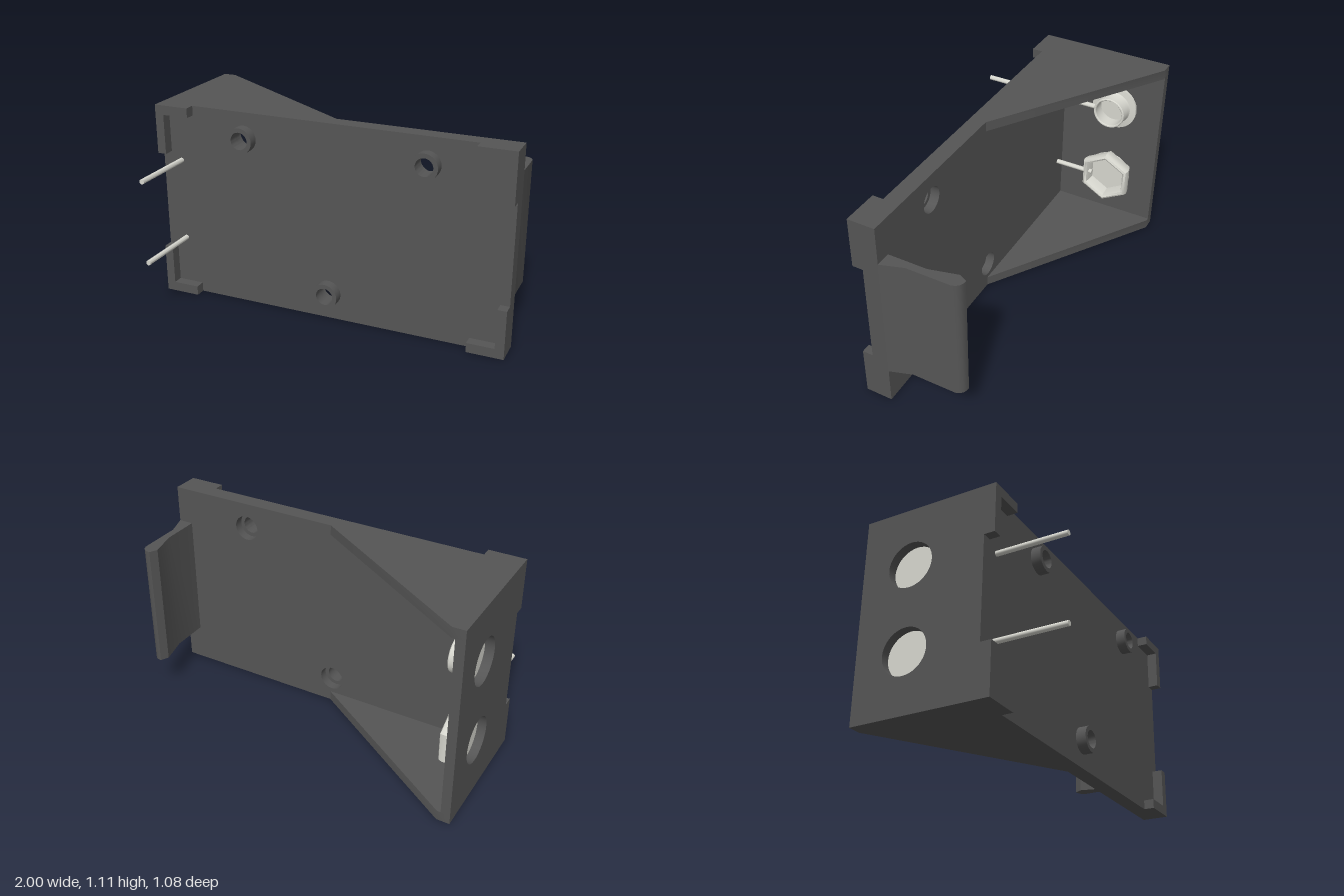
import * as THREE from 'three';
import { toCreasedNormals } from 'three/addons/utils/BufferGeometryUtils.js';

const plastic = new THREE.MeshStandardMaterial({ color: 0x555555 });
const metal = new THREE.MeshStandardMaterial({ color: 0xd6d6ce });

const H = 1.11, WALL = 0.055;
const PLATE_BACK = 0.065, PLATE_FRONT = 0.155, FOOT_FRONT = 0.213;
const SCREWS = [[-0.49, 0.965], [0.54, 0.965], [0, 0.15]];
const POLES = [0.79, 0.325], POLE_Z = -0.26;

const polygon = (pts) => new THREE.Shape(pts.map(([x, y]) => new THREE.Vector2(x, y)));
const rectangle = (x0, y0, x1, y1) => polygon([[x0, y0], [x1, y0], [x1, y1], [x0, y1]]);
const circle = (x, y, r) => new THREE.Path().absarc(x, y, r, 0, Math.PI * 2, true);
const extrude = (shape, depth) =>
  new THREE.ExtrudeGeometry(shape, { depth, bevelEnabled: false, curveSegments: 20 });

export function createModel() {
  const model = new THREE.Group();
  const add = (name, geometry, material = plastic) => {
    const mesh = new THREE.Mesh(toCreasedNormals(geometry, 0.6), material);
    mesh.name = name;
    model.add(mesh);
    return mesh;
  };

  // Base plate in two layers, so the screw holes are counterbored from the back
  const layer = (name, z0, z1, holeRadius) => {
    const shape = rectangle(-1, 0, 1, H);
    SCREWS.forEach(([x, y]) => shape.holes.push(circle(x, y, holeRadius)));
    add(name, extrude(shape, z1 - z0).translate(0, 0, z0));
  };
  layer('plateBack', PLATE_BACK, 0.115, 0.07);
  layer('plateFront', 0.115, PLATE_FRONT, 0.048);

  // Round bosses around the screw holes
  for (const [x, y] of SCREWS) {
    const ring = new THREE.Shape().absarc(x, y, 0.072, 0, Math.PI * 2);
    ring.holes.push(circle(x, y, 0.048));
    add('screwBoss', extrude(ring, 0.055).translate(0, 0, PLATE_FRONT));
  }

  // L-shaped feet on the four corners
  for (const sx of [-1, 1]) {
    for (const top of [false, true]) {
      const pts = [[1, 0], [1, 0.275], [0.95, 0.275], [0.95, 0.053], [0.8, 0.053], [0.8, 0]];
      const foot = polygon(pts.map(([x, y]) => [sx * x, top ? H - y : y]));
      add('cornerFoot', extrude(foot, FOOT_FRONT - PLATE_FRONT).translate(0, 0, PLATE_FRONT));
    }
  }

  // Profiles given as x, z and raised along y
  const raise = (pts, y0, y1) =>
    extrude(polygon(pts.map(([x, z]) => [x, -z])), y1 - y0).rotateX(-Math.PI / 2).translate(0, y0, 0);

  // Sloping side walls
  const slope = [[-1, PLATE_BACK], [-1, -0.54], [-0.93, -0.54], [0.01, PLATE_BACK]];
  add('lowerSideWall', raise(slope, 0, WALL));
  add('upperSideWall', raise(slope, H - WALL, H));

  // End wall with two round openings
  const end = rectangle(-PLATE_BACK, WALL, 0.54, H - WALL);
  POLES.forEach((y) => end.holes.push(circle(-POLE_Z, y, 0.125)));
  add('endWall', extrude(end, 0.05).rotateY(Math.PI / 2).translate(-1, 0, 0));

  // Springy retaining clip at the opposite end
  const clip = [[1, 0.065], [0.96, -0.055], [0.96, -0.295], [0.952, -0.315], [0.938, -0.33],
    [0.92, -0.337], [0.902, -0.338], [0.88, -0.295], [0.918, -0.145], [0.918, 0.065]];
  add('retainingClip', raise(clip, 0.207, 0.905));

  // Snap contacts: a round stud and a hexagonal socket, profiles as radius, height
  const contact = (name, pts, sides, y) => {
    const profile = pts.map(([r, h]) => new THREE.Vector2(r, h));
    const geometry = new THREE.LatheGeometry(profile, sides, Math.PI / 2);
    add(name, geometry.rotateZ(-Math.PI / 2).translate(-0.95, y, POLE_Z), metal);
  };
  contact('studContact', [[0, 0], [0.135, 0], [0.135, 0.015], [0.1, 0.02], [0.094, 0.03],
    [0.094, 0.095], [0.09, 0.1], [0.084, 0.1], [0.08, 0.095], [0.08, 0.02], [0, 0.02]], 40, POLES[0]);
  contact('socketContact', [[0, 0], [0.145, 0], [0.155, 0.02], [0.164, 0.05], [0.165, 0.07],
    [0.158, 0.088], [0.146, 0.094], [0.134, 0.088], [0.126, 0.07], [0.12, 0.02], [0, 0.02]], 6, POLES[1]);
  // Disc closing the opening behind the socket
  add('socketBackDisc', new THREE.CylinderGeometry(0.13, 0.13, 0.012, 40)
    .rotateZ(Math.PI / 2).translate(-0.947, POLES[1], POLE_Z), metal);

  // Terminal pins running from the contacts out through the plate
  for (const y of POLES) {
    const z0 = POLE_Z + 0.09, z1 = 0.54;
    add('terminalPin', new THREE.CylinderGeometry(0.014, 0.014, z1 - z0, 16)
      .rotateX(Math.PI / 2).translate(-0.888, y, (z0 + z1) / 2), metal);
  }
  return model;
}
